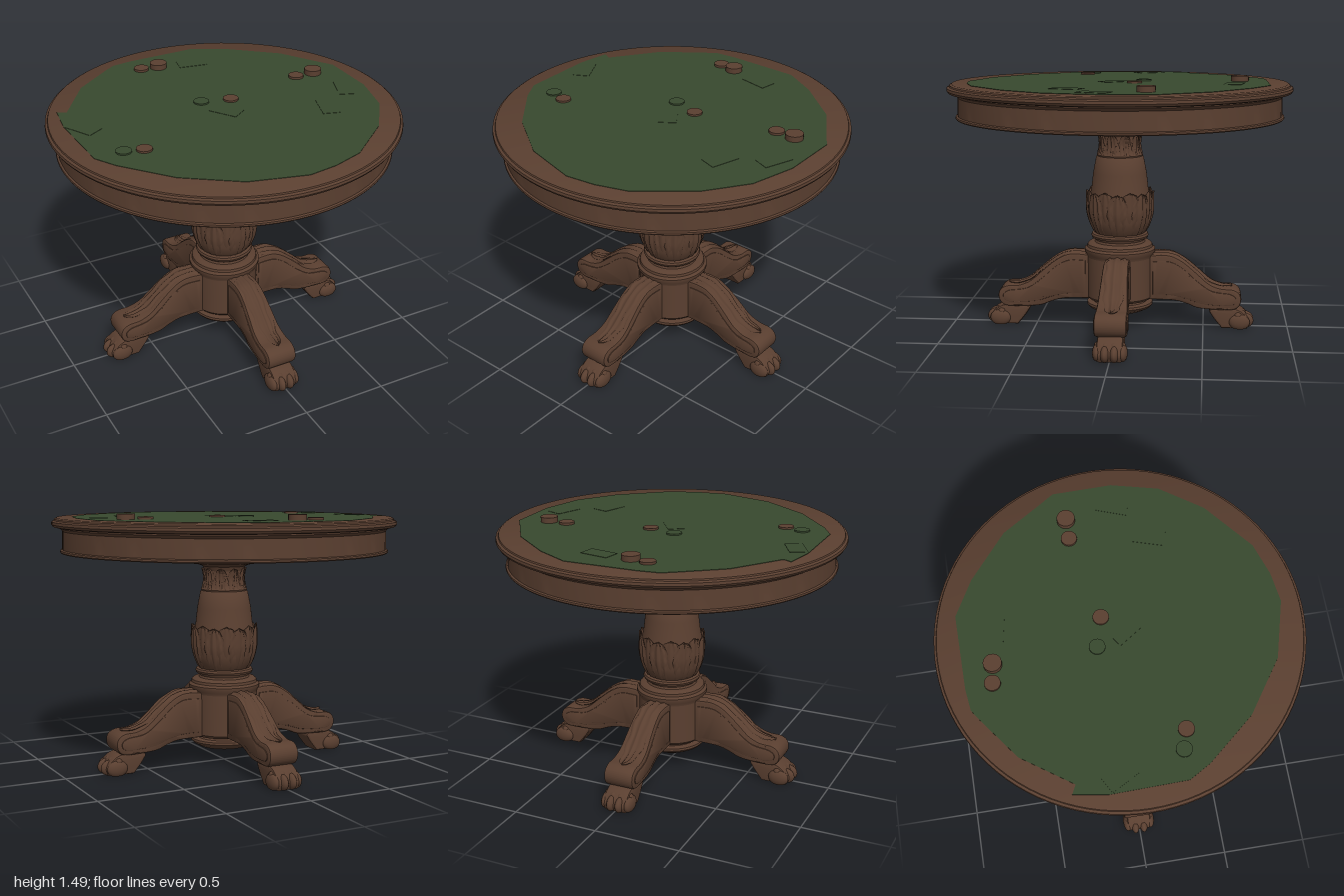
import * as THREE from 'three';
import { toCreasedNormals } from 'three/addons/utils/BufferGeometryUtils.js';

const wood = new THREE.MeshStandardMaterial({ color: 0x5a3f30 });
wood.name = 'darkWood';
const leafWood = new THREE.MeshStandardMaterial({ color: 0x5a3f30, side: THREE.DoubleSide });
leafWood.name = 'carvedWood';
const felt = new THREE.MeshStandardMaterial({ color: 0x38492e });
felt.name = 'greenFelt';

const V2 = (p) => new THREE.Vector2(p[0], p[1]);

function mesh(name, geometry, material, parent) {
  const m = new THREE.Mesh(geometry, material);
  m.name = name;
  parent.add(m);
  return m;
}

// turned part from [radius, height] pairs, bottom to top
function turned(name, profile, parent, segments = 64) {
  const g = new THREE.LatheGeometry(profile.map(V2), segments);
  return mesh(name, toCreasedNormals(g, 0.6), wood, parent);
}

// extruded side profile, centred on z; flare widens it with distance
function slab(name, shape, half, bevel, parent, flare = () => 1) {
  const depth = 2 * (half - bevel);
  const g = new THREE.ExtrudeGeometry(shape, {
    depth, curveSegments: 8, bevelEnabled: bevel > 0,
    bevelSize: bevel, bevelThickness: bevel, bevelOffset: -bevel, bevelSegments: 2,
  });
  g.translate(0, 0, -depth / 2);
  const p = g.attributes.position;
  for (let i = 0; i < p.count; i++) p.setZ(i, p.getZ(i) * flare(p.getX(i)));
  return mesh(name, toCreasedNormals(g, 0.7), wood, parent);
}

// carved leaf: place(u, v, lift) maps u -1..1 across, v 0..1 along, to a point
function leafGeometry(place, cols = 12, rows = 16) {
  const g = new THREE.PlaneGeometry(2, 1, cols, rows);
  const p = g.attributes.position;
  for (let i = 0; i < p.count; i++) {
    const u = p.getX(i), v = p.getY(i) + 0.5;
    const lift = 0.5 + 0.5 * Math.cos(u * Math.PI * 3 + Math.abs(u) * v * 3);
    const q = place(u, v, lift);
    p.setXYZ(i, q[0], q[1], q[2]);
  }
  g.computeVertexNormals();
  return g;
}

// ring of upright leaves wrapped around a turned section
function leafRing(name, count, y0, y1, radius, spread, depth, parent, offset = 0) {
  const group = new THREE.Group();
  group.name = name;
  const g = leafGeometry((u, v, lift) => {
    const width = spread * Math.sqrt(Math.max(0, 1 - Math.pow(v, 5))) * (1 + 0.06 * Math.sin(v * 28));
    const a = u * width * Math.PI / count;
    const r = radius(v) + depth * (lift - 1) - depth * 0.5 * u * u;
    return [Math.sin(a) * r, y0 + (y1 - y0) * v, Math.cos(a) * r];
  });
  for (let i = 0; i < count; i++) {
    mesh('carvedLeaf', g, leafWood, group).rotation.y = (i + offset) * 2 * Math.PI / count;
  }
  parent.add(group);
}

function buildTop(root) {
  turned('apron', [[0, 1.25], [0.948, 1.25], [0.952, 1.256], [0.95, 1.265], [0.94, 1.27],
    [0.938, 1.375], [0.95, 1.39], [0.95, 1.405], [0, 1.405]], root, 96);
  turned('rim', [[0.93, 1.397], [0.975, 1.397], [0.992, 1.402], [1, 1.415], [0.998, 1.43],
    [0.985, 1.437], [0.982, 1.445], [0.97, 1.452], [0, 1.452]], root, 96);

  // felt with an uneven hand-cut outline, given as [x, z]
  const edge = [[-0.38, -0.8], [-0.32, -0.84], [-0.2, -0.855], [0.22, -0.86], [0.42, -0.75], [0.675, -0.54],
    [0.81, -0.33], [0.87, -0.24], [0.875, 0.09], [0.81, 0.35], [0.65, 0.58], [0.38, 0.8], [0.2, 0.86],
    [0.03, 0.885], [-0.29, 0.8], [-0.58, 0.6], [-0.8, 0.34], [-0.87, 0.22], [-0.88, -0.2],
    [-0.85, -0.385], [-0.8, -0.36], [-0.61, -0.63]];
  const shape = new THREE.Shape(edge.map(([x, z]) => new THREE.Vector2(x, -z)));
  const cloth = mesh('feltCloth', new THREE.ExtrudeGeometry(shape, { depth: 0.003, bevelEnabled: false }), felt, root);
  cloth.rotation.x = -Math.PI / 2;
  cloth.position.y = 1.4515;

  // gaming chips: x, z, top height, material
  const chips = [[-0.19, -0.71, 1.468, wood], [-0.085, -0.695, 1.486, wood], [0.58, -0.19, 1.468, wood],
    [0.695, -0.19, 1.486, wood], [0.09, -0.09, 1.465, wood], [-0.6, 0.25, 1.465, wood],
    [-0.075, -0.135, 1.463, felt], [-0.705, 0.22, 1.463, felt]];
  for (const [x, z, top, material] of chips) {
    const r = top > 1.48 ? 0.05 : 0.044;
    mesh('chip', new THREE.CylinderGeometry(r, r, top - 1.452, 24), material, root)
      .position.set(x, (top + 1.452) / 2, z);
  }

  // cards lying on the felt: x, z, turn
  for (const [x, z, turn] of [[0.53, 0.25, -0.3], [0.75, 0.08, -0.35], [-0.79, -0.13, 0.5],
    [0, 0.03, 0.6], [0.12, -0.66, 1.4]]) {
    const card = mesh('card', new THREE.BoxGeometry(0.1, 0.002, 0.17), felt, root);
    card.position.set(x, 1.4555, z);
    card.rotation.y = turn;
  }
}

function buildPedestal(root) {
  turned('pedestalCap', [[0.115, 1.14], [0.125, 1.165], [0.16, 1.178], [0.21, 1.185], [0.235, 1.2],
    [0.243, 1.22], [0.24, 1.235], [0.23, 1.252]], root);
  turned('column', [[0.14, 0.555], [0.165, 0.59], [0.182, 0.64], [0.188, 0.72], [0.18, 0.78], [0.168, 0.83],
    [0.158, 0.92], [0.14, 1.015], [0.134, 1.022], [0.136, 1.03], [0.128, 1.04], [0.122, 1.06],
    [0.114, 1.1], [0.115, 1.15]], root);
  turned('collar', [[0.197, 0.42], [0.2, 0.435], [0.21, 0.45], [0.21, 0.468], [0.195, 0.48], [0.192, 0.495],
    [0.18, 0.505], [0.15, 0.508], [0.145, 0.52], [0.15, 0.532], [0.165, 0.535], [0.17, 0.548],
    [0.165, 0.56], [0.14, 0.566]], root);
  turned('drum', [[0, 0.165], [0.185, 0.165], [0.197, 0.18], [0.197, 0.43], [0, 0.43]], root);
  turned('bottomFinial', [[0, 0.083], [0.1, 0.085], [0.15, 0.096], [0.185, 0.115], [0.197, 0.13], [0.195, 0.143],
    [0.16, 0.148], [0.15, 0.165]], root);

  const bulb = (v) => 0.15 + 0.05 * Math.pow(Math.sin(Math.min(1, v * 1.6) * Math.PI / 2), 0.8);
  leafRing('backLeaves', 8, 0.565, 0.825, (v) => bulb(v) - 0.004, 0.95, 0.008, root, 0.5);
  leafRing('frontLeaves', 8, 0.565, 0.815, (v) => bulb(v) + 0.003, 0.85, 0.012, root);
  leafRing('neckLeaves', 10, 1.035, 1.155, (v) => 0.135 - 0.01 * Math.sin(v * Math.PI), 0.95, 0.01, root);
}

function buildLeg() {
  const leg = new THREE.Group();
  leg.name = 'leg';

  // S-curved leg ending in a rounded knuckle
  const upper = [[0.15, 0.43], [0.24, 0.44], [0.31, 0.435], [0.38, 0.4], [0.46, 0.335], [0.53, 0.275],
    [0.6, 0.247], [0.67, 0.242], [0.71, 0.22], [0.724, 0.18], [0.71, 0.138], [0.67, 0.116]];
  const lower = [[0.57, 0.115], [0.47, 0.122], [0.4, 0.147], [0.32, 0.165], [0.15, 0.168]];
  const shape = new THREE.Shape();
  shape.moveTo(...upper[0]);
  shape.splineThru(upper.slice(1).concat(lower).map(V2));
  const flare = (x) => 1 + 0.25 * THREE.MathUtils.smoothstep(x, 0.3, 0.66);
  slab('legBody', shape, 0.072, 0.012, leg, flare);

  // raised panel on both cheeks
  const panel = new THREE.Shape();
  panel.moveTo(0.2, 0.4);
  panel.splineThru([[0.3, 0.4], [0.38, 0.36], [0.46, 0.29], [0.55, 0.23], [0.66, 0.213], [0.694, 0.18],
    [0.66, 0.145], [0.5, 0.15], [0.4, 0.178], [0.3, 0.198], [0.2, 0.2]].map(V2));
  slab('cheekPanel', panel, 0.076, 0.004, leg, flare);

  // carved leaf running down the top of the knee
  const path = new THREE.SplineCurve([[0.2, 0.437], ...upper.slice(1, 8)].map(V2));
  const g = leafGeometry((u, v, lift) => {
    const p = path.getPoint(v);
    const n = path.getTangent(v);
    const h = 0.004 + 0.012 * lift - 0.01 * u * u;
    const w = 0.06 * Math.sqrt(Math.max(0, 1 - Math.pow(v, 4))) * (1 + 0.1 * Math.sin(v * 30));
    return [p.x - n.y * h, p.y + n.x * h, -u * w];
  }, 12, 24);
  mesh('kneeLeaf', g, leafWood, leg);

  // paw foot
  const foot = new THREE.Shape();
  foot.moveTo(0.61, 0);
  foot.lineTo(0.76, 0);
  foot.splineThru([[0.775, 0.04], [0.75, 0.085], [0.7, 0.118], [0.62, 0.125], [0.54, 0.112],
    [0.555, 0.07], [0.61, 0]].map(V2));
  slab('pawBody', foot, 0.072, 0.014, leg);
  for (const [z, x] of [[-0.07, 0.715], [-0.026, 0.738], [0.026, 0.738], [0.07, 0.715]]) {
    const toe = new THREE.SphereGeometry(1, 16, 12);
    toe.scale(0.062, 0.048, 0.027);
    toe.translate(0, 0.04, 0);
    const p = toe.attributes.position;
    for (let i = 0; i < p.count; i++) p.setY(i, Math.max(0, p.getY(i)));
    mesh('toe', toe, wood, leg).position.set(x, 0, z);
    const knuckle = mesh('toeKnuckle', new THREE.SphereGeometry(0.024, 12, 10), wood, leg);
    knuckle.position.set(x - 0.008, 0.077, z * 0.9);
  }
  return leg;
}

export function createModel() {
  const root = new THREE.Group();
  root.name = 'pedestalGameTable';
  buildTop(root);
  buildPedestal(root);
  for (let i = 0; i < 4; i++) {
    const leg = buildLeg();
    leg.rotation.y = i * Math.PI / 2;
    root.add(leg);
  }
  return root;
}
